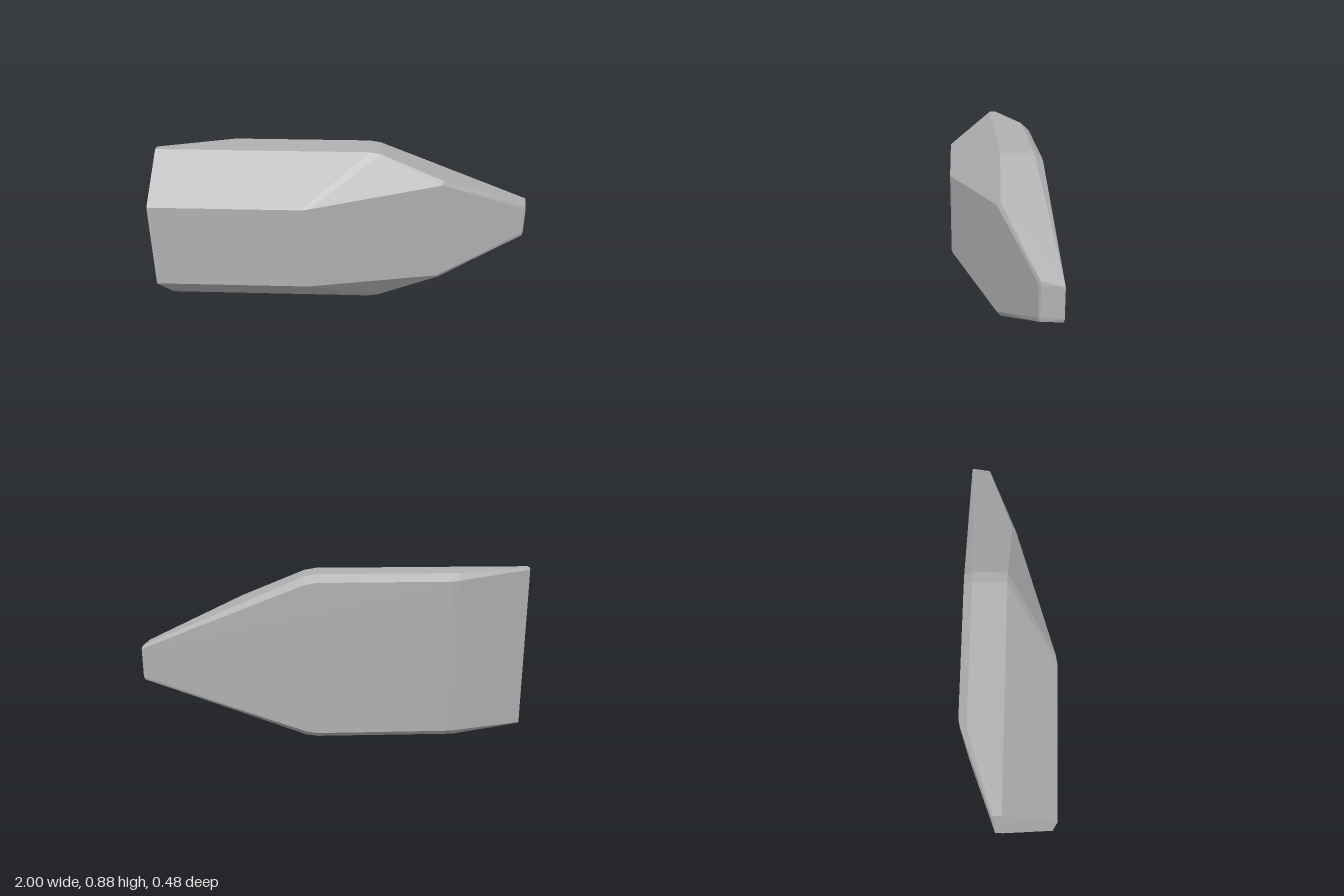
import * as THREE from 'three';
import { ConvexGeometry } from 'three/addons/geometries/ConvexGeometry.js';

const MID = 0.4385; // height of the mirror plane

// Corner points of the upper half: [x, height above the mirror plane, z]
const frontFace = [
  [-1, 0.224, 0.24], [-0.22, 0.224, 0.24], [-0.18, 0.2265, 0.233],
  [0.5, 0.273, 0.018], [0.97, 0.076, -0.13],
];
const flank = [
  [-1, 0.4385, -0.018], [0.12, 0.4385, -0.018], [0.18, 0.428, -0.017],
  [0.51, 0.291, 0.001], [0.978, 0.093, -0.138],
  [0.12, 0.4385, -0.19], [0.18, 0.428, -0.191], [-0.61, 0.4385, -0.188],
  [-0.57, 0.4385, -0.19], [-1, 0.4385, -0.055],
];
const backFace = [
  [-1, 0.43, -0.065], [-0.6, 0.405, -0.222], [-0.56, 0.403, -0.231],
  [0.12, 0.403, -0.2345], [0.18, 0.392, -0.2348],
];
const tip = [[0.982, 0.068, -0.139], [0.994, 0.09, -0.236], [1, 0.074, -0.24]];

export function createModel() {
  const group = new THREE.Group();
  group.name = 'facetedBlock';

  const grey = new THREE.MeshStandardMaterial({ color: 0xb0b0b0 });
  grey.name = 'plain grey';

  // Faceted body: mirrored corners wrapped in a convex shell
  const corners = [];
  for (const [x, h, z] of [...frontFace, ...flank, ...backFace, ...tip]) {
    for (const side of [1, -1]) corners.push(new THREE.Vector3(x, MID + side * h, z));
  }
  const body = new THREE.Mesh(new ConvexGeometry(corners), grey);
  body.name = 'body';
  group.add(body);
  return group;
}
